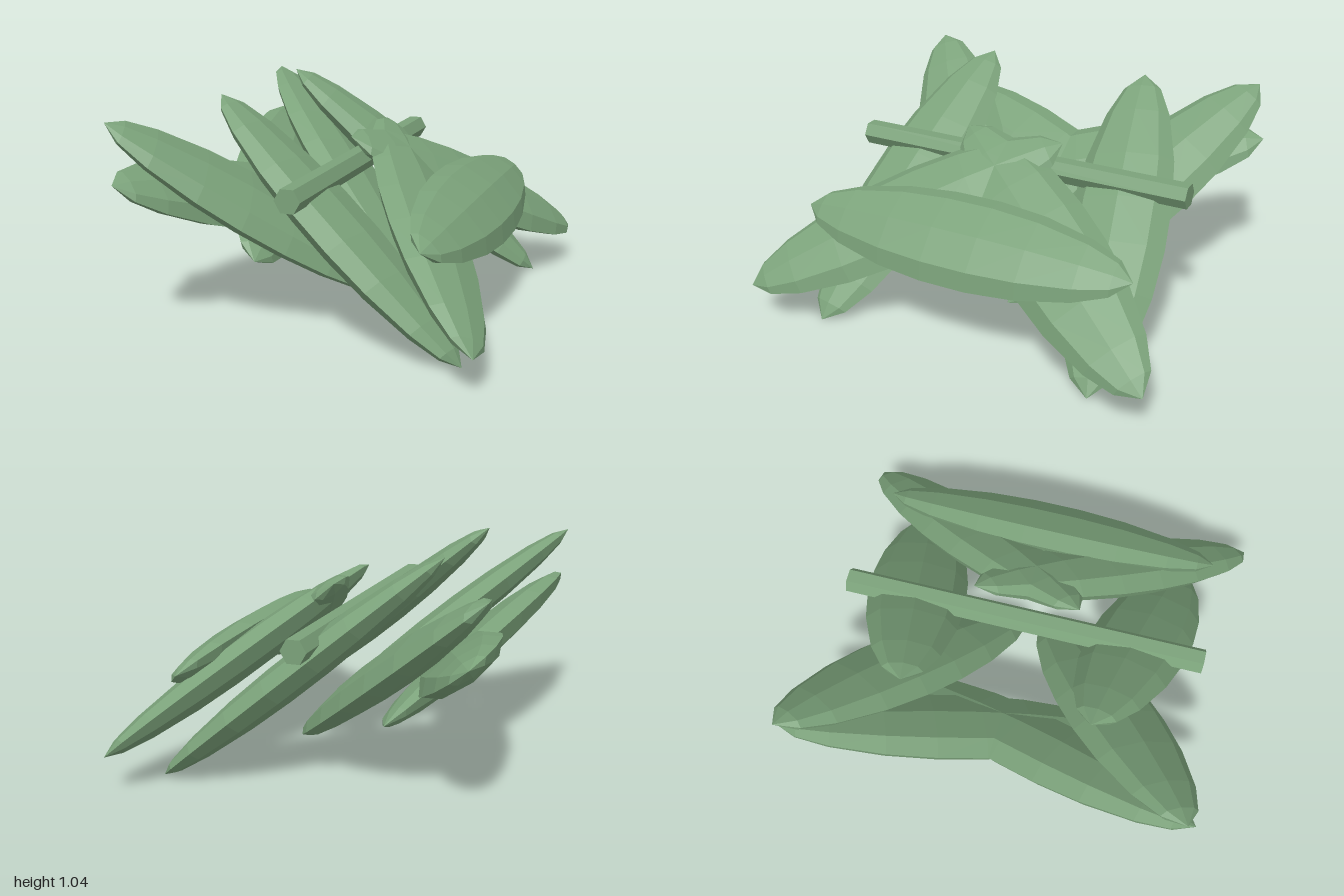
import * as THREE from 'three';

const V = (x, y, z) => new THREE.Vector3(x, y, z);

export function createModel() {
  const model = new THREE.Group();
  const green = new THREE.MeshStandardMaterial({ color: 0x7ba27a, flatShading: true });
  green.name = 'leafGreen';

  // Unit spindle along y with radius 1: full body, blunt-pointed ends, eight-sided section
  const stations = [-1, -0.9, -0.72, -0.42, -0.14, 0.14, 0.42, 0.72, 0.9, 1];
  const profile = stations.map(
    (u) => new THREE.Vector2(Math.pow(1 - u * u, 0.58), u / 2));
  const spindle = new THREE.LatheGeometry(profile, 8);

  // Flattened leaf between two tips, its flat face lying in the shared tilted plane
  const planeNormal = V(0.64, 0.77, 0).normalize();
  function addLeaf(name, a, b, halfWidth, halfThick) {
    const axis = b.clone().sub(a);
    const length = axis.length();
    axis.normalize();
    const normal = planeNormal.clone().addScaledVector(axis, -planeNormal.dot(axis)).normalize();
    const side = axis.clone().cross(normal);
    const leaf = new THREE.Mesh(spindle, green);
    leaf.name = name;
    leaf.quaternion.setFromRotationMatrix(new THREE.Matrix4().makeBasis(side, axis, normal));
    leaf.scale.set(halfWidth, length, halfThick);
    leaf.position.copy(a).add(b).multiplyScalar(0.5);
    model.add(leaf);
  }

  // Mirrored leaf pairs, stacked from the lowest layer to the highest
  const pairs = [
    ['lowestLeaf', V(-0.78, 0.725, 0.97), V(-0.31, 0.315, -0.57)],
    ['lowerLeaf', V(-0.84, 0.985, 0.91), V(0.25, 0.07, 0.07)],
    ['middleLeaf', V(-0.53, 1.05, 0.42), V(0.71, 0.005, 0.7)],
    ['upperLeaf', V(0.04, 0.86, -0.25), V(0.835, 0.18, 1)],
  ];
  const flip = V(1, 1, -1);
  for (const [name, a, b] of pairs) {
    addLeaf(name + 'Front', a, b, 0.24, 0.09);
    addLeaf(name + 'Back', a.clone().multiply(flip), b.clone().multiply(flip), 0.24, 0.09);
  }

  // Single leaf lying across the top layer
  addLeaf('topLeaf', V(0.56, 0.53, 0.83), V(0.56, 0.53, -0.83), 0.23, 0.09);

  // Six-sided stem running front to back
  const stem = new THREE.Mesh(
    new THREE.CylinderGeometry(0.06, 0.06, 1.72, 6, 1, false, Math.PI / 2), green);
  stem.name = 'stem';
  stem.rotation.x = Math.PI / 2;
  stem.position.set(-0.01, 0.7, 0);
  model.add(stem);

  return model;
}
